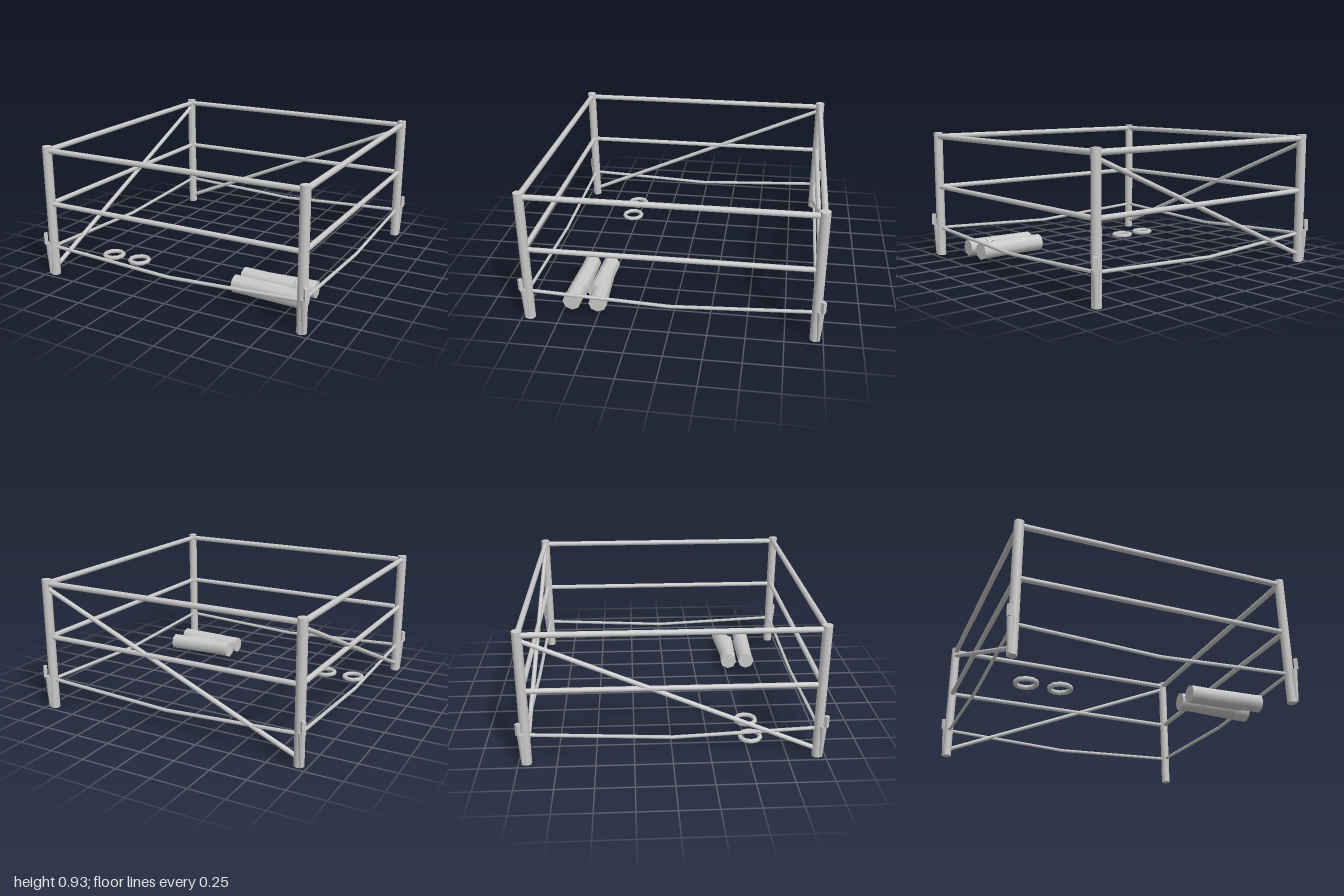
import * as THREE from 'three';

const material = new THREE.MeshStandardMaterial({ color: 0xcccccc });
const UP = new THREE.Vector3(0, 1, 0);
const C = 0.945; // post offset from the centre

function addMesh(parent, name, geometry) {
  const mesh = new THREE.Mesh(geometry, material);
  mesh.name = name;
  parent.add(mesh);
  return mesh;
}

// Cylinder running from point a to point b
function addRod(parent, name, a, b, radius, sides = 8) {
  const start = new THREE.Vector3(...a);
  const end = new THREE.Vector3(...b);
  const dir = end.clone().sub(start);
  const mesh = addMesh(parent, name, new THREE.CylinderGeometry(radius, radius, dir.length(), sides));
  mesh.position.copy(start).add(end).multiplyScalar(0.5);
  mesh.quaternion.setFromUnitVectors(UP, dir.normalize());
  return mesh;
}

export function createModel() {
  const model = new THREE.Group();
  model.name = 'fencedPen';

  // Corner posts, each with a tapered stake and a small peg on its outer corner
  for (const sx of [-1, 1]) {
    for (const sz of [-1, 1]) {
      const corner = new THREE.Group();
      corner.name = 'cornerPost';
      addRod(corner, 'post', [sx * C, 0, sz * C], [sx * C, 0.93, sz * C], 0.033, 10);

      const stake = addMesh(corner, 'stake', new THREE.CylinderGeometry(0.026, 0.012, 0.23, 8));
      stake.position.set(sx * 0.967, 0.12, sz * 0.967);

      const peg = addMesh(corner, 'peg', new THREE.BoxGeometry(0.025, 0.08, 0.025));
      peg.position.set(sx * 0.982, 0.272, sz * 0.982);
      peg.rotation.y = Math.PI / 4;
      model.add(corner);
    }
  }

  // Four sides: two rails and a sagging rope each
  for (let i = 0; i < 4; i++) {
    const side = new THREE.Group();
    side.name = 'fenceSide';
    side.rotation.y = (i * Math.PI) / 2;
    addRod(side, 'topRail', [-0.92, 0.9, C], [0.92, 0.9, C], 0.02);
    addRod(side, 'middleRail', [-0.92, 0.522, C], [0.92, 0.522, C], 0.018);
    for (const s of [-1, 1]) {
      addRod(side, 'rope', [s * 0.93, 0.209, C], [0, 0.165, C], 0.012, 6);
    }
    model.add(side);
  }

  // Diagonal braces on the back and the -x side
  addRod(model, 'backBrace', [-0.935, 0.055, -C], [0.935, 0.865, -C], 0.016);
  addRod(model, 'sideBrace', [-C, 0.055, 0.935], [-C, 0.865, -0.935], 0.016);

  // Overlapping logs lying near the front corner: [x0, z0, x1, z1]
  const logs = [
    [0.342, 0.522, 0.73, 0.543],
    [0.47, 0.531, 0.862, 0.503],
    [0.342, 0.664, 0.73, 0.668],
    [0.47, 0.666, 0.862, 0.685],
  ];
  for (const [x0, z0, x1, z1] of logs) {
    addRod(model, 'log', [x0, 0.083, z0], [x1, 0.083, z1], 0.0625);
  }

  // Two rings lying flat
  for (const x of [-0.74, -0.515]) {
    const ring = addMesh(model, 'ring', new THREE.TorusGeometry(0.07, 0.016, 6, 10));
    ring.rotation.x = Math.PI / 2;
    ring.position.set(x, 0.035, 0.535);
  }

  return model;
}
